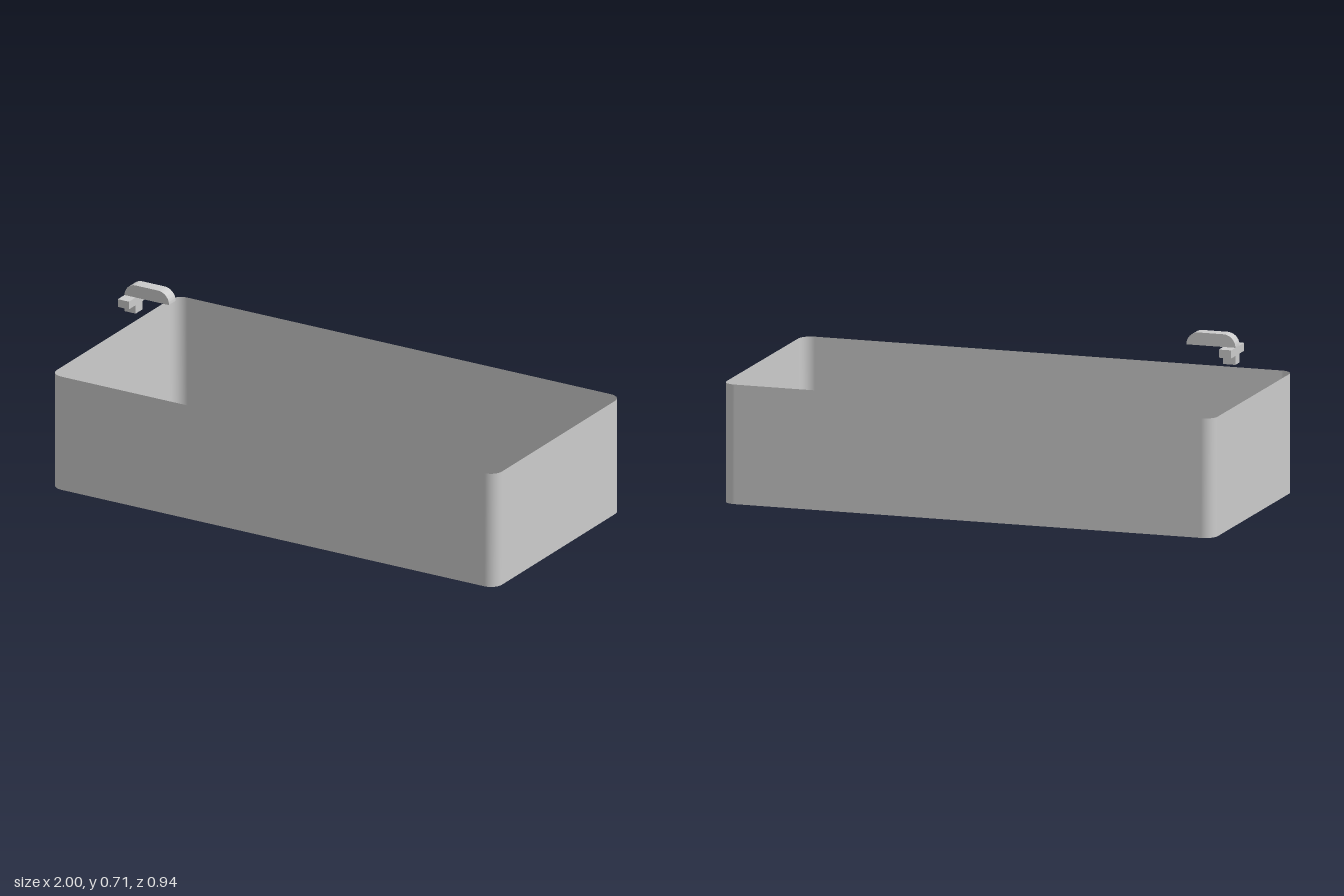
import * as THREE from 'three';
import { toCreasedNormals, mergeVertices } from 'three/addons/utils/BufferGeometryUtils.js';

const W = 2, D = 0.94, H = 0.47, R = 0.05;

// Rounded rectangle outline of the basin
function basinShape() {
  const s = new THREE.Shape(), x = W / 2, y = D / 2, q = Math.PI / 2;
  s.absarc(x - R, y - R, R, 0, q);
  s.absarc(R - x, y - R, R, q, 2 * q);
  s.absarc(R - x, R - y, R, 2 * q, 3 * q);
  s.absarc(x - R, R - y, R, 3 * q, 4 * q);
  s.closePath();
  return s;
}

// Thin open wall swept straight up from the outline, smooth around the corners
function wallGeometry(shape) {
  const pos = [], index = [];
  const pts = shape.getPoints(8).filter((p, i, a) => i === 0 || p.distanceTo(a[i - 1]) > 1e-5);
  if (pts[0].distanceTo(pts[pts.length - 1]) < 1e-5) pts.pop();
  pts.forEach((p, i) => {
    const a = 2 * i, b = 2 * ((i + 1) % pts.length);
    pos.push(p.x, 0, -p.y, p.x, H, -p.y);
    index.push(a, b, b + 1, a, b + 1, a + 1);
  });
  const g = new THREE.BufferGeometry();
  g.setAttribute('position', new THREE.Float32BufferAttribute(pos, 3));
  g.setIndex(index);
  g.computeVertexNormals();
  return g;
}

export function createModel() {
  const root = new THREE.Group();
  const grey = new THREE.MeshStandardMaterial({ color: 0xcccccc });
  const thin = new THREE.MeshStandardMaterial({ color: 0xcccccc, side: THREE.DoubleSide });

  const add = (name, geometry, parent, material = grey) => {
    const mesh = new THREE.Mesh(geometry, material);
    mesh.name = name;
    parent.add(mesh);
    return mesh;
  };

  // Basin: thin walls and a flat floor
  const basin = new THREE.Group();
  basin.name = 'basin';
  root.add(basin);
  const outline = basinShape();
  add('basinWall', wallGeometry(outline), basin, thin);
  add('basinFloor', new THREE.ShapeGeometry(outline, 8).rotateX(-Math.PI / 2), basin, thin);

  // Tap hovering over the right end
  const tap = new THREE.Group();
  tap.name = 'tap';
  tap.position.set(-0.91, 0, 0);
  root.add(tap);

  // Spout: flat underneath, both upper ends rounded off
  const r = 0.05, length = 0.2, base = 0.657;
  const profile = new THREE.Shape();
  profile.moveTo(0, 0);
  profile.lineTo(length, 0);
  profile.absarc(length - r, 0, r, 0, Math.PI / 2);
  profile.absarc(r, 0, r, Math.PI / 2, Math.PI);
  const spout = new THREE.ExtrudeGeometry(profile, { depth: 0.05, bevelEnabled: false, curveSegments: 8 });
  spout.translate(-0.025, base, -0.025);
  add('spout', toCreasedNormals(mergeVertices(spout), 0.6), tap);

  // Stem below the spout and the cross handles on either side
  add('stem', new THREE.BoxGeometry(0.05, base - 0.59, 0.05), tap).position.y = (base + 0.59) / 2;
  for (const side of [-1, 1]) {
    const handle = add(side > 0 ? 'frontHandle' : 'backHandle', new THREE.BoxGeometry(0.05, 0.032, 0.05), tap);
    handle.position.set(0, base - 0.016, side * 0.05);
  }
  return root;
}
